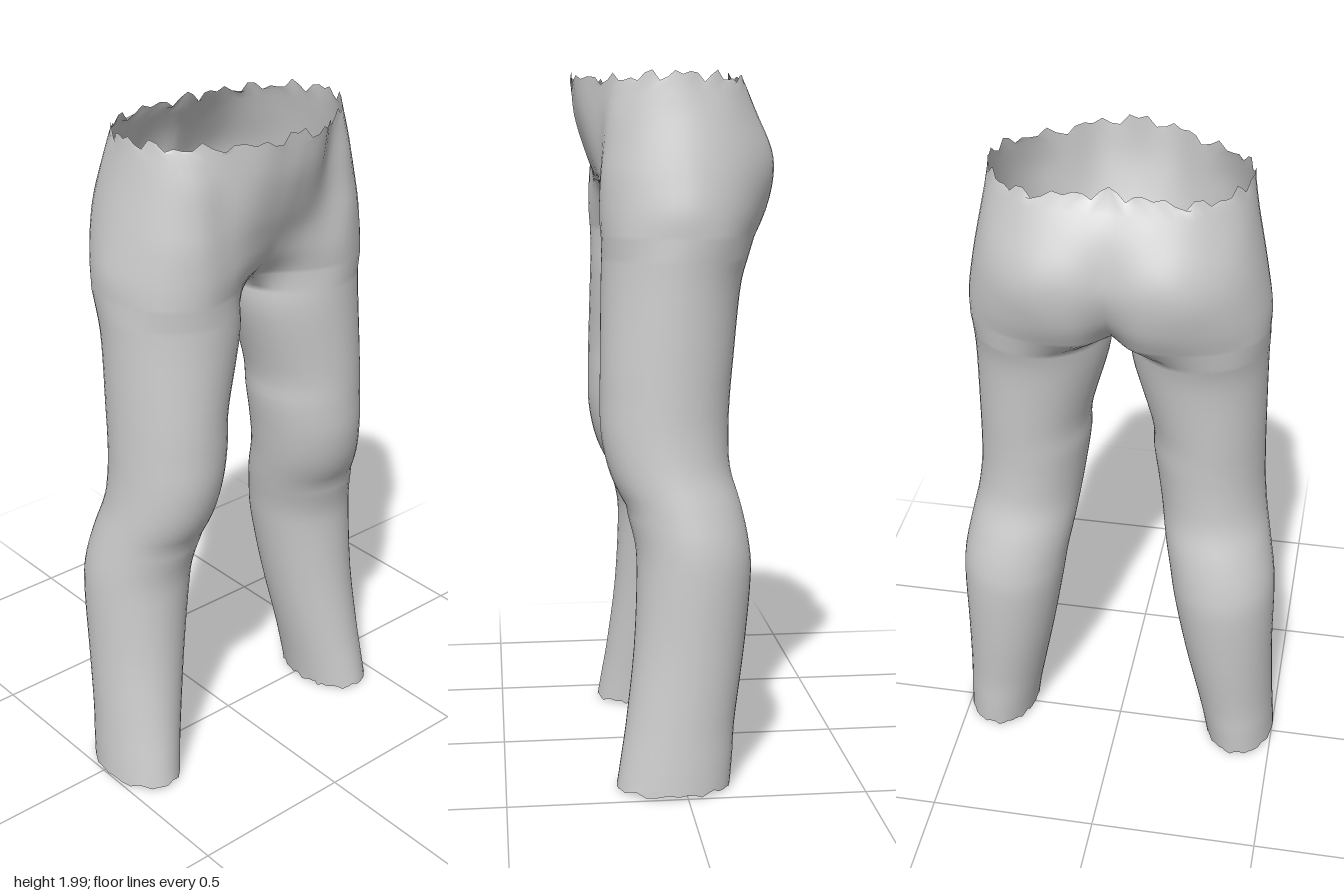
import * as THREE from 'three';
import { mergeGeometries, mergeVertices } from 'three/addons/utils/BufferGeometryUtils.js';

// Half outlines of the hips (x, z pairs from front centre round the side to back centre), top to crotch
const HIP_Y = [1.975, 1.88, 1.78, 1.7, 1.61, 1.54];
const HIPS = [
  [0, .28, .1, .272, .19, .205, .28, .15, .335, .08, .355, 0, .33, -.08, .28, -.145, .2, -.185, .09, -.185, 0, -.172],
  [0, .272, .1, .258, .18, .21, .27, .185, .34, .11, .37, 0, .35, -.1, .3, -.165, .21, -.22, .1, -.235, 0, -.225],
  [0, .243, .09, .235, .18, .21, .27, .2, .35, .13, .39, 0, .37, -.11, .31, -.195, .2, -.265, .1, -.275, 0, -.25],
  [0, .21, .08, .21, .17, .21, .27, .21, .36, .14, .405, 0, .385, -.11, .32, -.2, .21, -.268, .1, -.278, 0, -.25],
  [0, .165, .06, .18, .15, .205, .26, .215, .365, .15, .42, 0, .395, -.11, .32, -.195, .2, -.25, .09, -.255, 0, -.21],
  [0, .1, .05, .13, .14, .19, .26, .212, .37, .15, .42, 0, .395, -.11, .31, -.185, .2, -.22, .08, -.215, 0, -.14],
];
// Leg sections: y, outer x, inner x, front z, back z
const LEG = [
  [1.49, .42, .03, .212, -.198],
  [1.4, .418, .036, .215, -.175],
  [1.2, .42, .09, .22, -.152],
  [1.1, .422, .096, .222, -.143],
  [1.0, .426, .11, .22, -.138],
  [.9, .437, .125, .2, -.142],
  [.8, .457, .141, .16, -.17],
  [.7, .475, .16, .131, -.19],
  [.6, .481, .175, .126, -.195],
  [.4, .483, .21, .136, -.175],
  [.2, .491, .25, .16, -.146],
  [.1, .497, .27, .176, -.138],
  [.015, .502, .284, .19, -.13],
];
const OUTER = 40, INNER = 10, HIP_ROWS = 20, LEG_ROWS = 44;

const spline = (points) => new THREE.CatmullRomCurve3(points, false, 'centripetal');

// Catmull-Rom interpolation of whole table rows
function sampleTable(table, t) {
  const f = t * (table.length - 1), i = Math.min(Math.floor(f), table.length - 2), u = f - i;
  const at = (k) => table[Math.max(0, Math.min(table.length - 1, k))];
  return table[i].map((_, c) => {
    const [a, b, d, e] = [at(i - 1)[c], at(i)[c], at(i + 1)[c], at(i + 2)[c]];
    return b + .5 * u * (d - a + u * (2 * a - 5 * b + 4 * d - e + u * (3 * (b - d) + e - a)));
  });
}

// Uneven cut edge
const ragged = (j) => .011 * Math.sin(j * 2.1) + .009 * Math.sin(j * 1.27 + 1);

function halfGeometry() {
  const pos = [], index = [];
  const hipTable = HIPS.map((row, i) => [HIP_Y[i], ...row]);

  // Hip rows: open arcs from front centre to back centre
  let crotch;
  for (let r = 0; r <= HIP_ROWS; r++) {
    const row = sampleTable(hipTable, r / HIP_ROWS);
    const pts = [];
    for (let k = 1; k < row.length; k += 2) pts.push(new THREE.Vector3(row[k], row[0], row[k + 1]));
    const arc = spline(pts).getPoints(OUTER);
    arc.forEach((p, j) => {
      if (r === 0) p.y += ragged(j) + .006 * Math.cos(j / OUTER * Math.PI * 4);
      p.x = j === 0 || j === OUTER ? 0 : Math.max(p.x, 0);
      pos.push(p.x, p.y, p.z);
    });
    crotch = arc;
  }
  const W = OUTER + 1;
  for (let r = 0; r < HIP_ROWS; r++) {
    for (let j = 0; j < OUTER; j++) {
      const a = r * W + j, b = a + W;
      index.push(a, b, a + 1, a + 1, b, b + 1);
    }
  }

  // Crotch seam closes the last hip row into the top ring of the leg
  const ring = crotch.slice();
  let prev = crotch.map((_, j) => HIP_ROWS * W + j);
  const back = crotch[OUTER], front = crotch[0];
  for (let j = 1; j < INNER; j++) {
    const p = back.clone().lerp(front, j / INNER);
    p.y -= .006 * Math.sin(Math.PI * j / INNER);
    ring.push(p);
    prev.push(pos.length / 3);
    pos.push(0, p.y, p.z);
  }
  const dirs = ring.map((p) => new THREE.Vector2((p.x - .225) / .195, (p.z - .007) / .205).normalize());

  // Leg rings
  const n = ring.length;
  for (let r = 0; r <= LEG_ROWS; r++) {
    const [y, xo, xi, zf, zb] = sampleTable(LEG, r / LEG_ROWS);
    const start = pos.length / 3;
    dirs.forEach((d, j) => {
      const kneeFold = .007 * Math.exp(-(((y - .8) / .025) ** 2)) * Math.max(0, d.y) ** 3;
      const hem = r === LEG_ROWS ? .4 * ragged(j) : 0;
      pos.push((xo + xi) / 2 + d.x * (xo - xi) / 2, Math.max(0, y + hem),
        (zf + zb) / 2 + d.y * (zf - zb) / 2 - kneeFold);
    });
    for (let j = 0; j < n; j++) {
      const k = (j + 1) % n;
      index.push(prev[j], start + j, prev[k], prev[k], start + j, start + k);
    }
    prev = dirs.map((_, j) => start + j);
  }

  const g = new THREE.BufferGeometry();
  g.setAttribute('position', new THREE.Float32BufferAttribute(pos, 3));
  g.setIndex(index);
  return g;
}

// Mirror across x with the winding reversed
function mirrored(g) {
  const m = g.clone().scale(-1, 1, 1);
  m.setIndex(Array.from(g.index.array).reverse());
  return m;
}

export function createModel() {
  const group = new THREE.Group();
  group.name = 'trousers';
  const greyCloth = new THREE.MeshStandardMaterial({ color: 0xcccccc, side: THREE.DoubleSide });
  greyCloth.name = 'grey cloth';

  // Both halves are welded along the centre seam so the shading stays smooth
  const half = halfGeometry();
  const shell = mergeVertices(mergeGeometries([half, mirrored(half)]), 1e-4);
  shell.computeVertexNormals();
  const mesh = new THREE.Mesh(shell, greyCloth);
  mesh.name = 'hipsAndLegs';
  group.add(mesh);
  return group;
}
